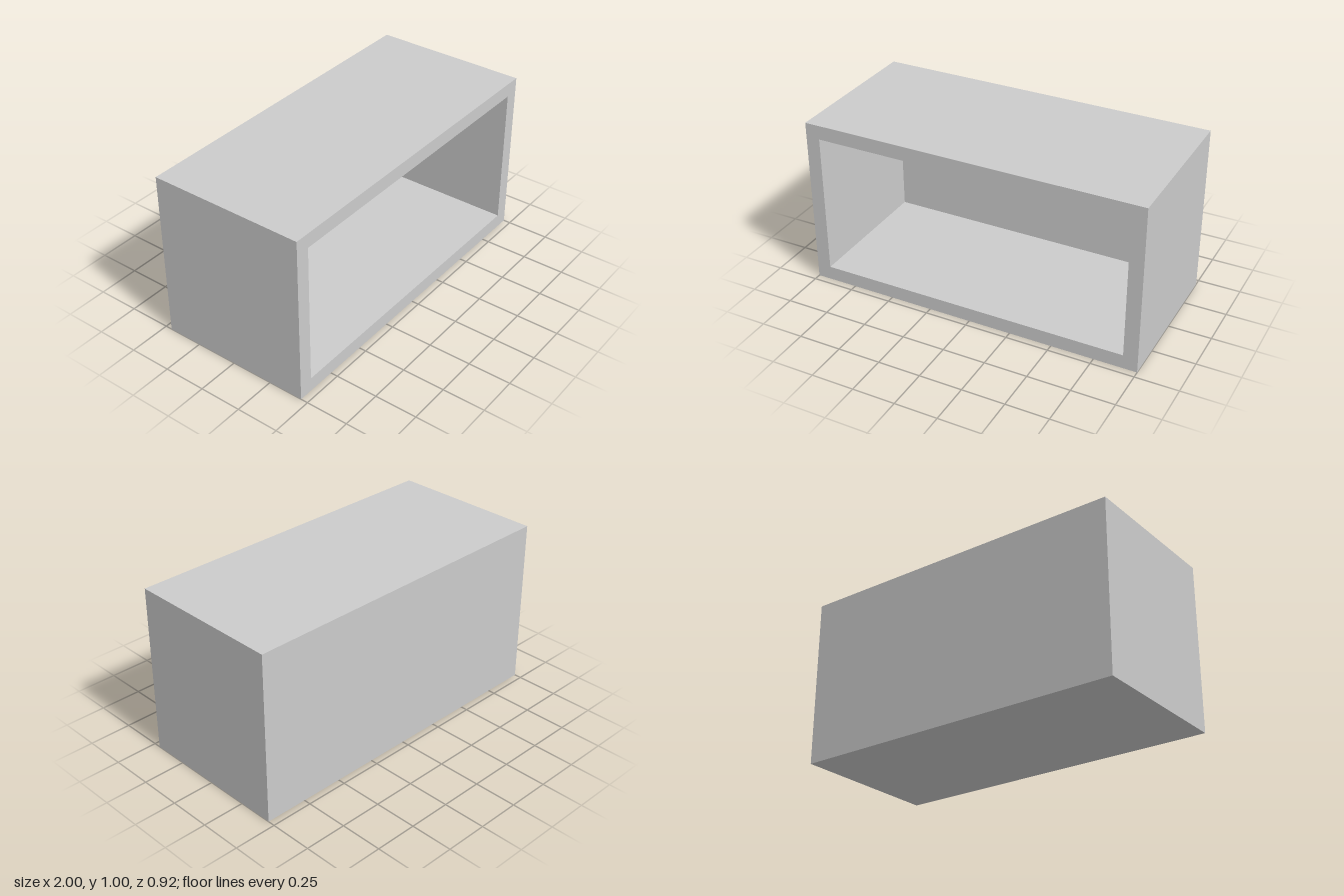
import * as THREE from 'three';

const WIDTH = 2, HEIGHT = 1, DEPTH = 0.9167, WALL = 0.0833;

// Rectangular cross-section as four corners, counter-clockwise seen from the front
function ring(inset, z) {
  const x = WIDTH / 2 - inset, y = HEIGHT / 2 - inset;
  return [[x, -y, z], [x, y, z], [-x, y, z], [-x, -y, z]];
}

// One closed skin: outer walls, front rim, inner walls, and both sides of the back
function openBoxGeometry() {
  const back = -DEPTH / 2, front = DEPTH / 2;
  const rings = [ring(0, back), ring(0, front), ring(WALL, front), ring(WALL, back + WALL)];
  const positions = [];
  const quad = (a, b, c, d) => positions.push(...a, ...b, ...c, ...a, ...c, ...d);

  for (let i = 0; i < rings.length - 1; i++) {
    for (let j = 0; j < 4; j++) {
      const k = (j + 1) % 4;
      quad(rings[i][j], rings[i][k], rings[i + 1][k], rings[i + 1][j]);
    }
  }
  quad(...[...rings[0]].reverse()); // outside of the back panel
  quad(...rings[3]); // inside of the back panel

  const geometry = new THREE.BufferGeometry();
  geometry.setAttribute('position', new THREE.Float32BufferAttribute(positions, 3));
  geometry.computeVertexNormals();
  return geometry;
}

export function createModel() {
  const group = new THREE.Group();
  group.name = 'openShelfBox';

  const material = new THREE.MeshStandardMaterial({ color: 0xcccccc, flatShading: true });
  const cabinet = new THREE.Mesh(openBoxGeometry(), material);
  cabinet.name = 'cabinetShell';
  cabinet.position.y = HEIGHT / 2;
  group.add(cabinet);

  return group;
}
